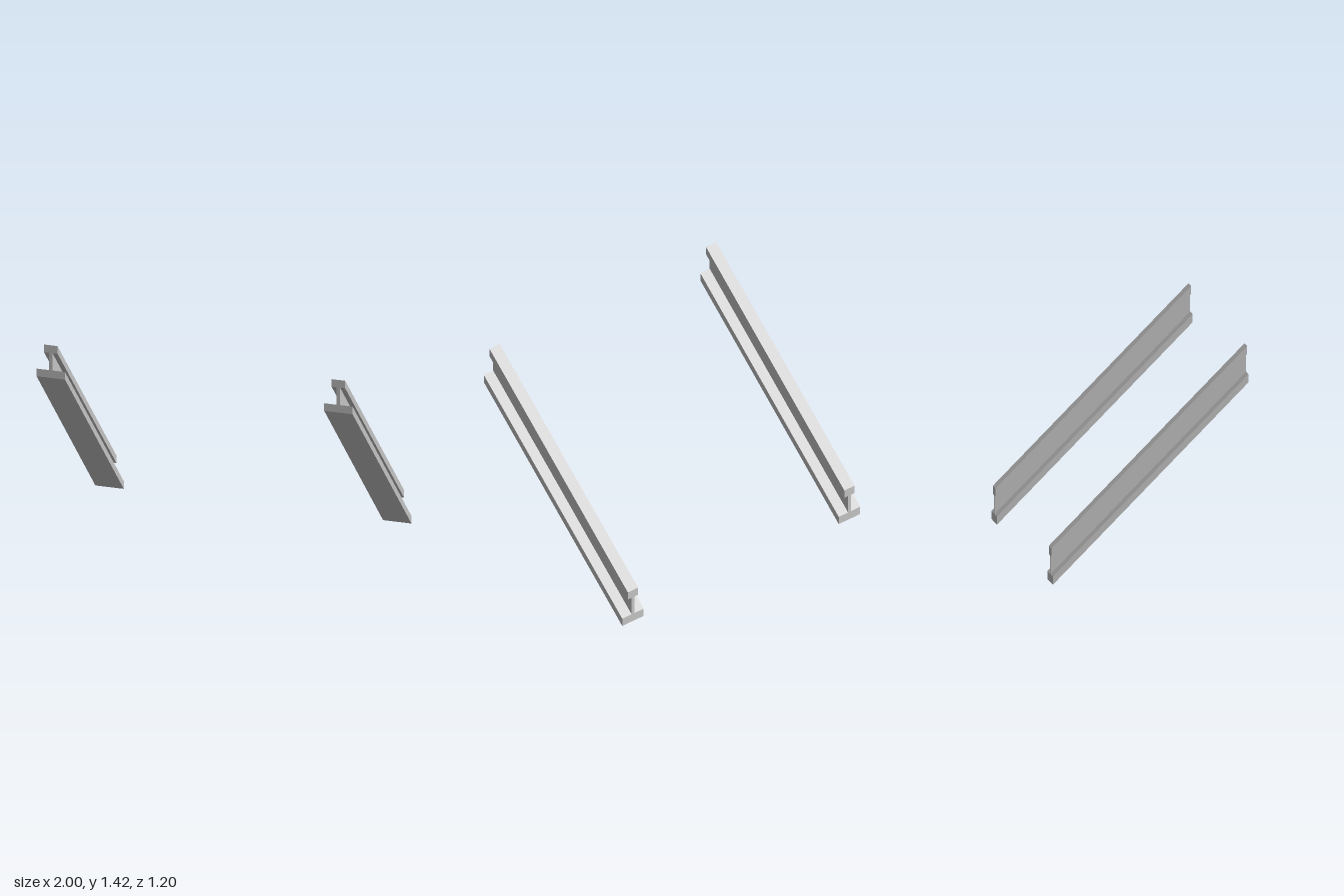
import * as THREE from 'three';

const LENGTH = 1.204; // run along z; the rails climb at 45 degrees towards +z

// I-shaped rail cross-section, cut upright at both ends
function railGeometry() {
  const foot = 0.09, web = 0.011, head = 0.043;
  const half = [
    [foot, 0], [foot, 0.05], [web, 0.05],
    [web, 0.164], [head, 0.164], [head, 0.214],
  ];
  const mirrored = half.map(([x, y]) => [-x, y]).reverse();
  const shape = new THREE.Shape([...half, ...mirrored].map(([x, y]) => new THREE.Vector2(x, y)));
  const geometry = new THREE.ExtrudeGeometry(shape, { depth: LENGTH, bevelEnabled: false });

  // Shear upward along the run so the end faces stay vertical
  const pos = geometry.attributes.position;
  for (let i = 0; i < pos.count; i++) pos.setY(i, pos.getY(i) + pos.getZ(i));
  geometry.translate(0, 0, -LENGTH / 2);
  geometry.computeVertexNormals();
  return geometry;
}

export function createModel() {
  const model = new THREE.Group();
  model.name = 'slopedRails';

  const steel = new THREE.MeshStandardMaterial({ color: 0xc4c4c4 });
  steel.name = 'lightGreySteel';

  // Matching rails on either side
  const geometry = railGeometry();
  for (const side of [1, -1]) {
    const rail = new THREE.Mesh(geometry, steel);
    rail.name = side > 0 ? 'leftRail' : 'rightRail';
    rail.position.x = side * 0.91;
    model.add(rail);
  }
  return model;
}
